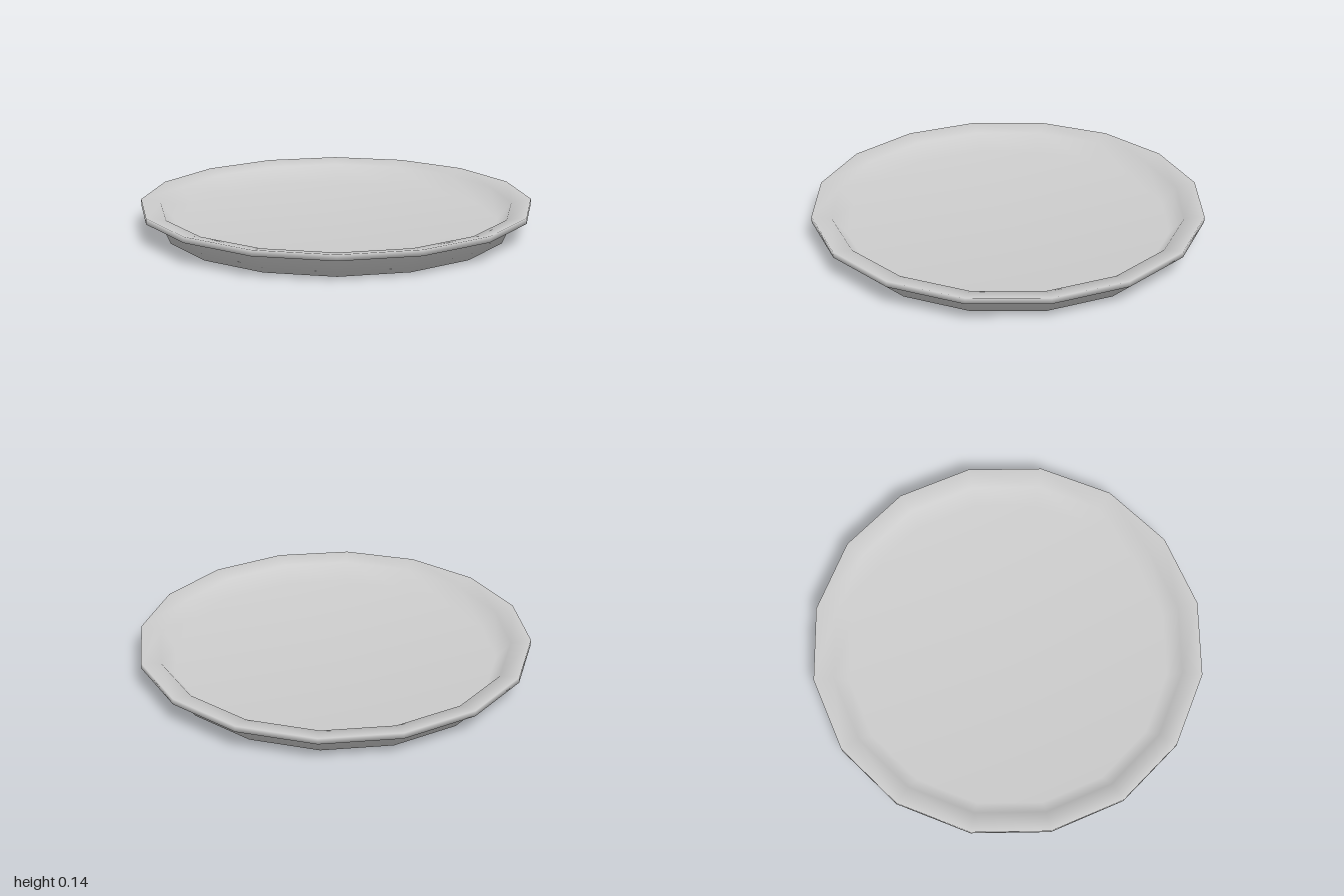
import * as THREE from 'three';

export function createModel() {
  const group = new THREE.Group();
  group.name = 'plate';

  // Closed profile: underside, sloped outer wall, lip, inner wall, floor
  const profile = [
    [0, 0], [0.88, 0], [0.92, 0.09], [1, 0.11],
    [1, 0.14], [0.9, 0.12], [0.83, 0.03], [0, 0.03],
  ].map(([r, y]) => new THREE.Vector2(r, y));

  // Sixteen-sided dish with smooth normals
  const dish = new THREE.Mesh(
    new THREE.LatheGeometry(profile, 16),
    new THREE.MeshStandardMaterial({ color: 0xcccccc })
  );
  dish.name = 'dish';
  group.add(dish);

  return group;
}
